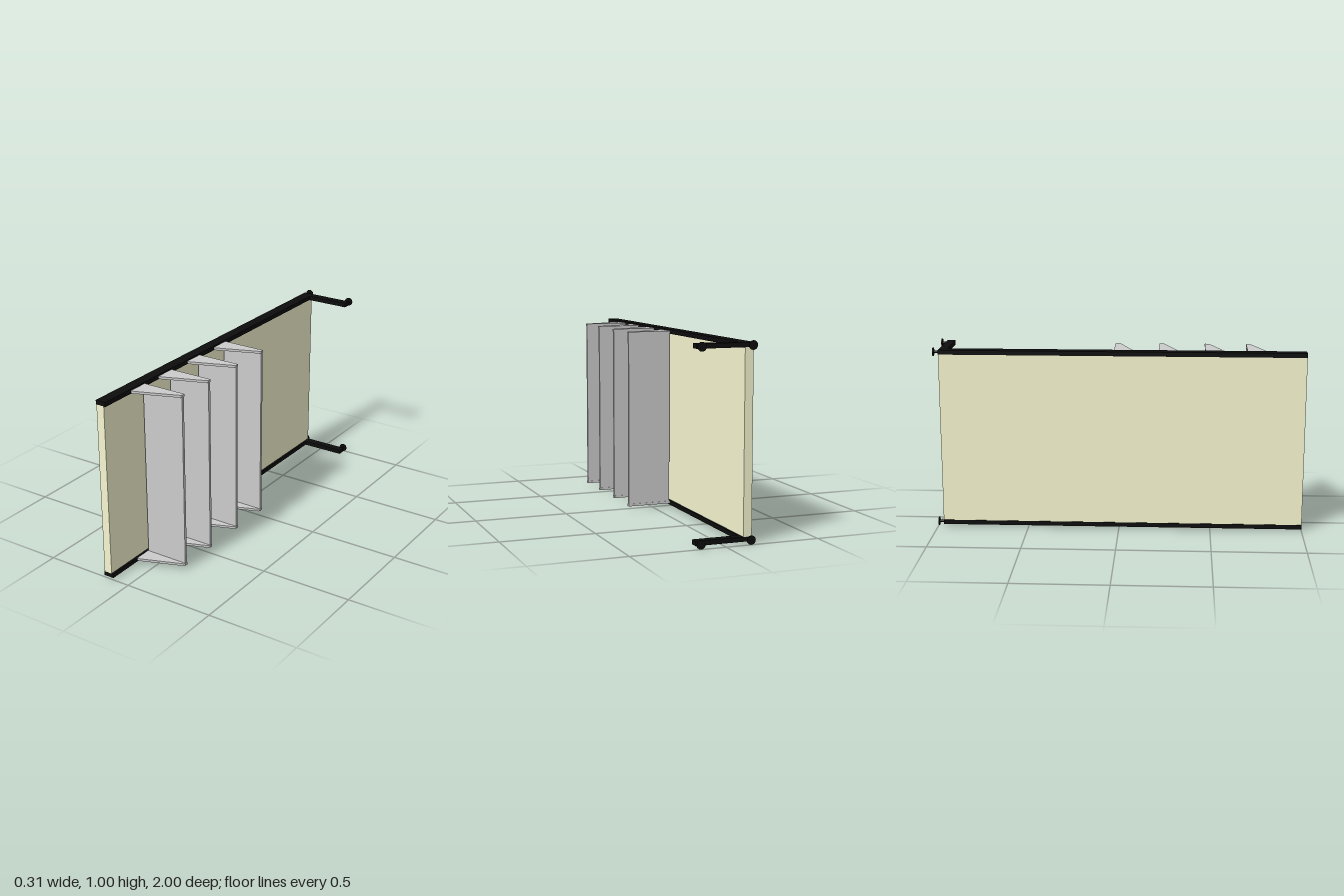
import * as THREE from 'three';

const mat = (color) => new THREE.MeshStandardMaterial({ color });

export function createModel() {
  const root = new THREE.Group();
  const black = mat(0x0d0d0d), cream = mat(0xf8f8d2), grey = mat(0xcccccc);

  const add = (name, geometry, material, parent = root) => {
    const mesh = new THREE.Mesh(geometry, material);
    mesh.name = name;
    parent.add(mesh);
    return mesh;
  };
  // Box given by its limits on each axis
  const box = (name, x0, x1, y0, y1, z0, z1, material, parent) =>
    add(name, new THREE.BoxGeometry(x1 - x0, y1 - y0, z1 - z0), material, parent)
      .position.set((x0 + x1) / 2, (y0 + y1) / 2, (z0 + z1) / 2);

  // Side panel
  box('sidePanel', -0.15, -0.105, 0.034, 0.966, -0.97, 1, cream);

  // L-shaped rails with wall pins, at the bottom and the top
  for (const y of [0.023, 0.977]) {
    const frame = new THREE.Group();
    frame.name = y < 0.5 ? 'lowerFrame' : 'upperFrame';
    root.add(frame);
    box('rail', -0.153, -0.095, y - 0.012, y + 0.012, -0.97, 1, black, frame);
    box('arm', -0.095, 0.148, y - 0.012, y + 0.012, -0.97, -0.926, black, frame);
    for (const x of [-0.135, 0.132]) {
      const stem = add('pinStem', new THREE.CylinderGeometry(0.007, 0.007, 0.03, 16), black, frame);
      stem.rotation.x = Math.PI / 2;
      stem.position.set(x, y, -0.983);
      const foot = add('pinDisc', new THREE.CylinderGeometry(0.023, 0.023, 0.005, 32), black, frame);
      foot.rotation.x = Math.PI / 2;
      foot.position.set(x, y, -0.9975);
    }
  }

  // Tapered bracket outline in x and z, measured from the back of the fin
  const outline = new THREE.Shape([
    [-0.1, 0], [0.148, 0], [0.148, 0.019], [0.142, 0.026], [-0.078, 0.111], [-0.1, 0.111],
  ].map(([x, z]) => new THREE.Vector2(x, -z)));
  const bracket = new THREE.ExtrudeGeometry(outline, { depth: 0.013, bevelEnabled: false });
  bracket.rotateX(-Math.PI / 2);

  // Four upright fins, each held by a bracket at either end
  for (const z of [-0.031, 0.212, 0.461, 0.688]) {
    const fin = new THREE.Group();
    fin.name = 'fin';
    fin.position.z = z;
    root.add(fin);
    box('finPlate', -0.092, 0.146, 0.03, 0.97, 0.002, 0.017, grey, fin);
    add('lowerBracket', bracket, grey, fin).position.y = 0.019;
    add('upperBracket', bracket, grey, fin).position.y = 0.968;
  }
  return root;
}
